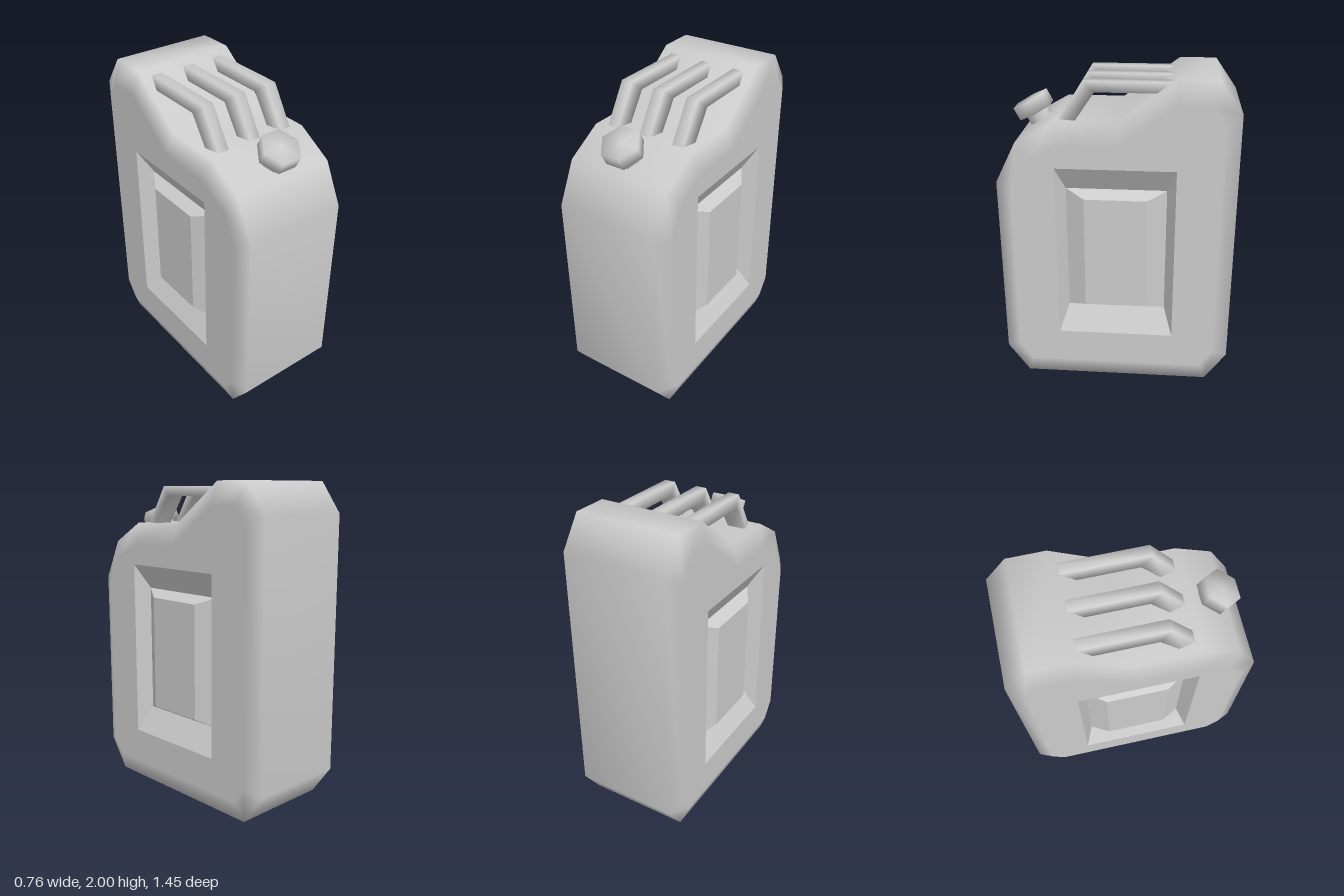
import * as THREE from 'three';
import { mergeVertices } from 'three/addons/utils/BufferGeometryUtils.js';

const grey = new THREE.MeshStandardMaterial({ color: 0xcccccc });
const flatGrey = new THREE.MeshStandardMaterial({ color: 0xcccccc, flatShading: true });

function mesh(name, geometry, material = grey) {
  const m = new THREE.Mesh(geometry, material);
  m.name = name;
  return m;
}

// Skin a row of equal-sized rings of [x, y, z]; optionally fill the last ring
function loft(rings, fillEnd = false) {
  const n = rings[0].length;
  const index = [];
  for (let r = 0; r < rings.length - 1; r++) {
    for (let i = 0; i < n; i++) {
      const a = r * n + i, b = r * n + (i + 1) % n;
      index.push(a, b, b + n, a, b + n, a + n);
    }
  }
  if (fillEnd) {
    const e = (rings.length - 1) * n;
    for (let i = 1; i < n - 1; i++) index.push(e, e + i, e + i + 1);
  }
  const g = new THREE.BufferGeometry();
  g.setAttribute('position', new THREE.Float32BufferAttribute(rings.flat(2), 3));
  g.setIndex(index);
  g.computeVertexNormals();
  return g;
}

// Can outlines as [z, y]: full silhouette, and the inset edge of the flat sides
const outline = [
  [0.59, 0], [-0.59, 0], [-0.725, 0.19], [-0.725, 1.81], [-0.59, 2], [-0.36, 2],
  [0, 1.74], [0.37, 1.74], [0.6, 1.61], [0.725, 1.36], [0.725, 0.19],
];
const inset = [
  [0.55, 0.13], [-0.55, 0.13], [-0.63, 0.24], [-0.63, 1.76], [-0.555, 1.865], [-0.36, 1.865],
  [-0.01, 1.61], [0.33, 1.61], [0.535, 1.51], [0.63, 1.31], [0.63, 0.24],
];
const HALF = 0.38;

// Wrap-around shell with bevelled borders that blend into the flat sides
function bodyShell() {
  const ring = (pts, x) => pts.map(([z, y]) => [x, y, z]);
  const g = loft([ring(inset, -HALF), ring(outline, -0.33), ring(outline, 0.33), ring(inset, HALF)]);
  const n = inset.length;
  for (let i = 0; i < n; i++) {
    g.attributes.normal.setXYZ(i, -1, 0, 0);
    g.attributes.normal.setXYZ(3 * n + i, 1, 0, 0);
  }
  return g;
}

const rect = (w, y0, y1, depth) => [[-w, y0, depth], [w, y0, depth], [w, y1, depth], [-w, y1, depth]];

// Flat side with a rectangular opening, and the recess with its raised pad
function sidePanel(s) {
  const side = new THREE.Group();
  side.name = s > 0 ? 'leftSide' : 'rightSide';
  const opening = rect(0.362, 0.35, 1.475, 0);
  const shape = new THREE.Shape(inset.map(([z, y]) => new THREE.Vector2(-s * z, y)));
  shape.holes.push(new THREE.Path(opening.map(([x, y]) => new THREE.Vector2(x, y))));
  const recess = loft([opening, rect(0.308, 0.51, 1.32, -0.09), rect(0.192, 0.55, 1.275, -0.02)], true);
  side.add(mesh('sideFace', new THREE.ShapeGeometry(shape)), mesh('recessedPanel', recess, flatGrey));
  side.rotation.y = s * Math.PI / 2;
  side.position.x = s * HALF;
  return side;
}

// Bent grip bar: narrow on the outside of the bend, wide on the inside
function handleGeometry() {
  const outer = [[0.371, 1.69], [0.195, 1.97], [-0.42, 1.97]];
  const inner = [[0.277, 1.69], [0.127, 1.91], [-0.42, 1.91]];
  return loft(outer.map(([zo, yo], i) => {
    const [zi, yi] = inner[i];
    return [[0.058, yi, zi], [-0.058, yi, zi], [-0.035, yo, zo], [0.035, yo, zo]];
  }));
}

// Six-sided cylinder with corners to the left and right, smoothly shaded
function hexCylinder(radius, height) {
  const g = new THREE.CylinderGeometry(radius, radius, height, 6, 1, false, Math.PI / 6);
  g.deleteAttribute('normal');
  g.deleteAttribute('uv');
  const welded = mergeVertices(g);
  welded.computeVertexNormals();
  return welded;
}

export function createModel() {
  const can = new THREE.Group();
  can.name = 'fuelCan';
  can.add(mesh('bodyShell', bodyShell()), sidePanel(1), sidePanel(-1));

  // Three parallel handles
  const grip = handleGeometry();
  ['rightHandle', 'middleHandle', 'leftHandle'].forEach((name, i) => {
    const handle = mesh(name, grip);
    handle.position.x = (i - 1) * 0.225;
    can.add(handle);
  });

  // Tilted spout with its screw cap
  const spout = new THREE.Group();
  spout.name = 'spout';
  const neck = mesh('neck', hexCylinder(0.075, 0.2));
  neck.position.y = -0.1;
  spout.add(mesh('cap', hexCylinder(0.123, 0.085)), neck);
  spout.position.set(0, 1.757, 0.541);
  spout.rotation.x = 0.49;
  can.add(spout);

  return can;
}
